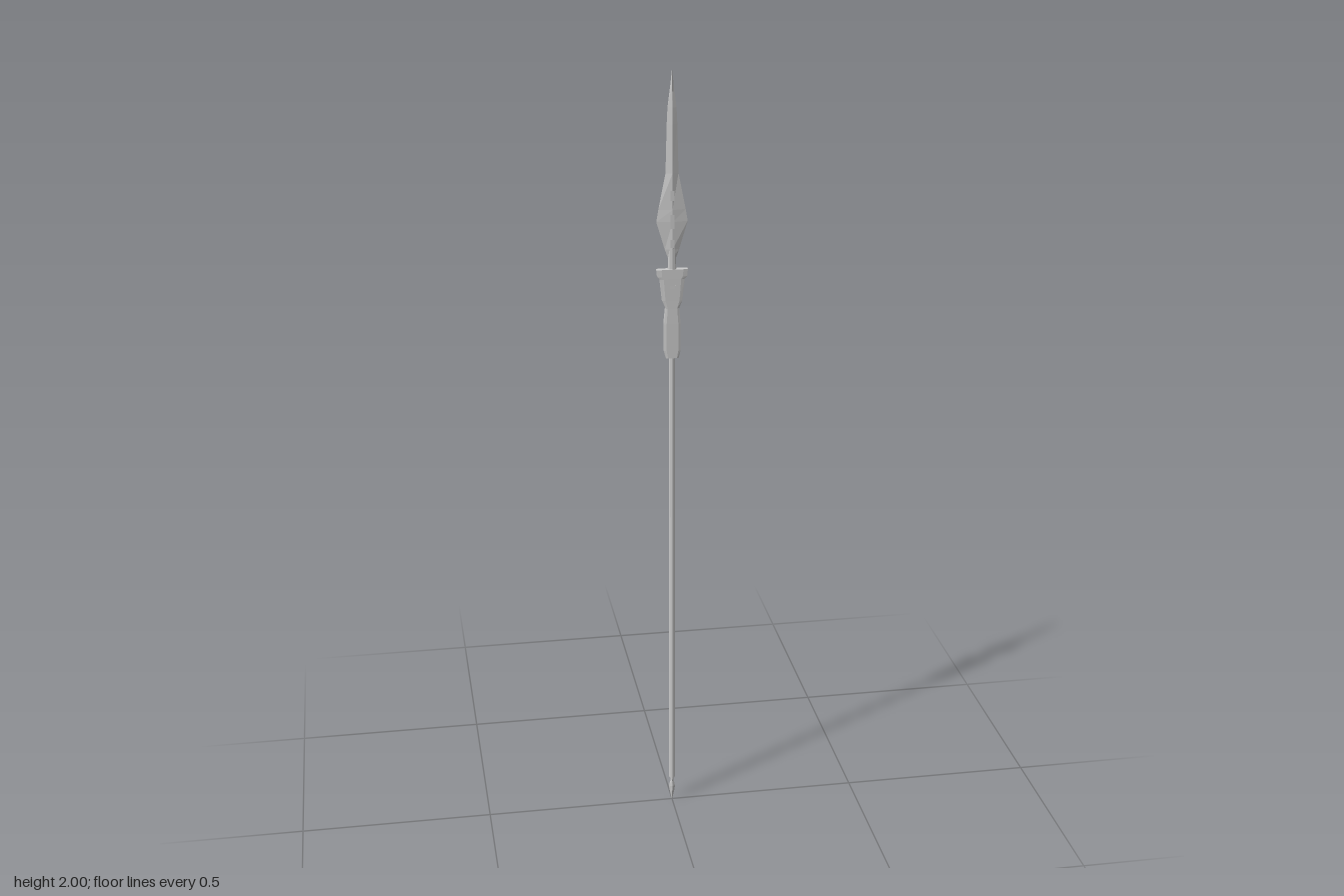
import * as THREE from 'three';

const material = new THREE.MeshStandardMaterial({ color: 0xcccccc, flatShading: true });

const DIAMOND = [[1, 0], [0, 1], [-1, 0], [0, -1]];
const SLAB = [[1, -0.75], [1, 0.75], [0.7, 1], [-0.7, 1], [-1, 0.75], [-1, -0.75], [-0.7, -1], [0.7, -1]];

// Lofts a closed section through rows of [y, halfWidth, halfDepth], bottom to top.
function loft(section, rows) {
  const n = section.length, pos = [], idx = [];
  for (const [y, w, d] of rows) for (const [x, z] of section) pos.push(x * w, y, z * d);
  for (let r = 0; r < rows.length - 1; r++) {
    for (let i = 0; i < n; i++) {
      const a = r * n + i, b = r * n + (i + 1) % n;
      idx.push(a, a + n, b, b, a + n, b + n);
    }
  }
  const top = (rows.length - 1) * n;
  for (let i = 1; i < n - 1; i++) {
    idx.push(0, i, i + 1, top, top + i + 1, top + i);
  }
  const g = new THREE.BufferGeometry();
  g.setAttribute('position', new THREE.Float32BufferAttribute(pos, 3));
  g.setIndex(idx);
  const flat = g.toNonIndexed();
  flat.computeVertexNormals();
  return flat;
}

export function createModel() {
  const group = new THREE.Group();
  const add = (name, geometry, x = 0, y = 0, z = 0) => {
    const mesh = new THREE.Mesh(geometry, material);
    mesh.name = name;
    mesh.position.set(x, y, z);
    group.add(mesh);
    return mesh;
  };

  // Long pole from the butt to inside the collar
  add('shaft', new THREE.CylinderGeometry(0.0078, 0.0078, 1.25, 8), 0, 0.695, 0);

  // Small pointed foot
  add('buttSpike', loft(DIAMOND, [
    [0, 0.0005, 0.0005], [0.025, 0.006, 0.004], [0.042, 0.0085, 0.005],
    [0.06, 0.004, 0.004], [0.075, 0.006, 0.005],
  ]));

  // Flat socket that flares to a wide crown
  add('collar', loft(SLAB, [
    [1.28, 0.016, 0.008], [1.3, 0.021, 0.008], [1.37, 0.021, 0.008], [1.41, 0.017, 0.0075],
    [1.43, 0.025, 0.0075], [1.485, 0.031, 0.008], [1.492, 0.037, 0.008], [1.51, 0.039, 0.008],
  ]));

  // Neck between collar and blade
  add('neck', new THREE.CylinderGeometry(0.009, 0.011, 0.07, 8), 0, 1.535, 0).scale.z = 0.65;

  // Leaf-shaped blade with a long narrow point
  add('blade', loft(DIAMOND, [
    [1.535, 0.009, 0.005], [1.56, 0.018, 0.006], [1.63, 0.039, 0.007], [1.66, 0.034, 0.007],
    [1.75, 0.016, 0.007], [1.87, 0.013, 0.006], [1.91, 0.011, 0.005], [1.965, 0.004, 0.003],
    [2, 0.0003, 0.0003],
  ]));

  // Small inlays along the ridge, repeated front and back
  for (const side of [1, -1]) {
    for (const [y, h] of [[1.575, 0.02], [1.63, 0.035], [1.695, 0.025]]) {
      add('bladeInlay', new THREE.BoxGeometry(0.009, h, 0.002), 0, y, side * 0.006);
    }
    add('collarStud', new THREE.BoxGeometry(0.016, 0.01, 0.002), 0, 1.465, side * 0.0072);
  }
  return group;
}
